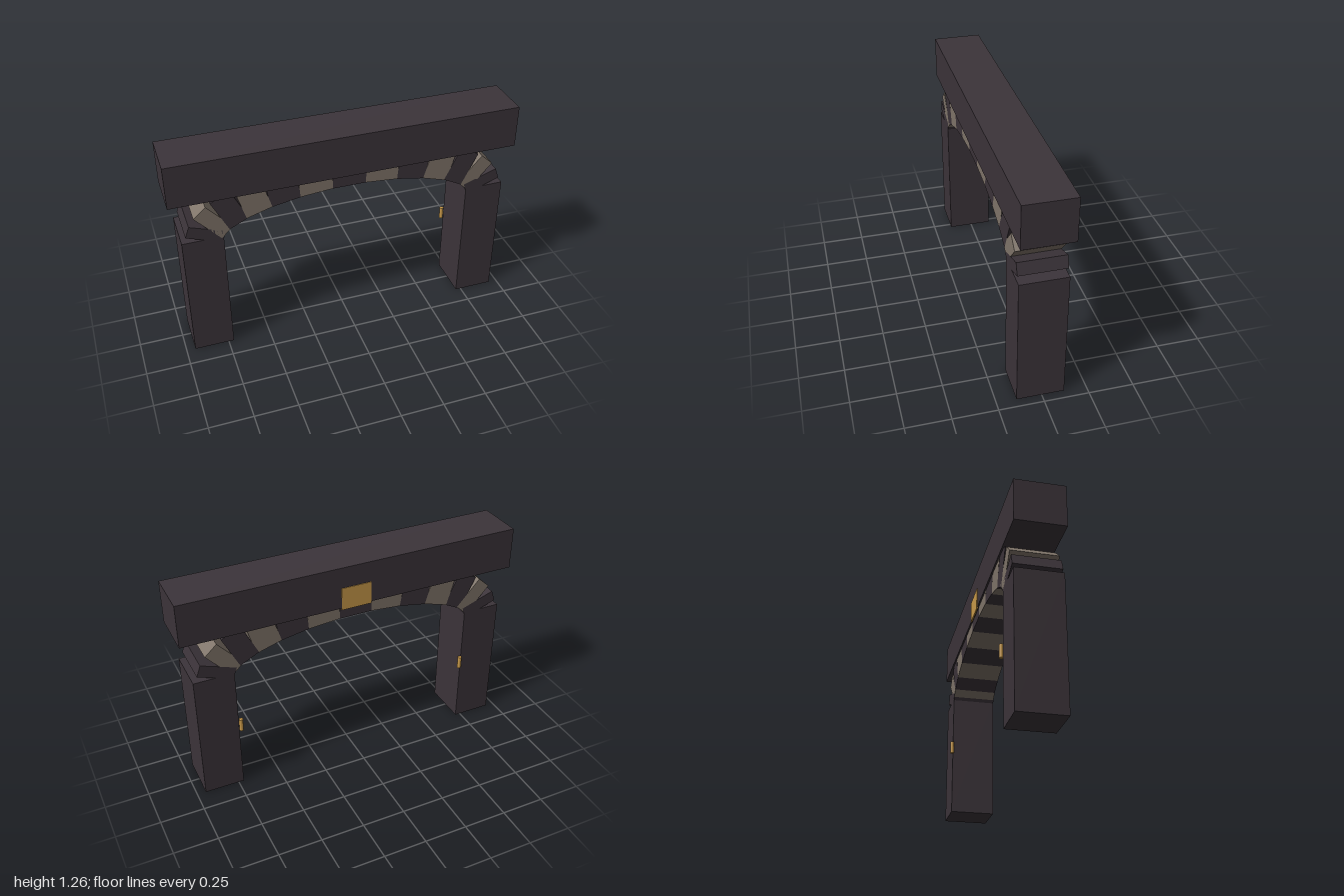
import * as THREE from 'three';

export function createModel() {
  const model = new THREE.Group();
  model.name = 'gateway';

  const material = (name, color) => {
    const m = new THREE.MeshStandardMaterial({ color });
    m.name = name;
    return m;
  };
  const dark = material('dark stone', 0x3c343a);
  const pale = material('pale stone', 0x80756a);
  const gold = material('gold', 0xcb9b4a);

  const add = (name, geometry, mat, x, y, z) => {
    const mesh = new THREE.Mesh(geometry, mat);
    mesh.name = name;
    mesh.position.set(x, y, z);
    model.add(mesh);
    return mesh;
  };

  const midZ = 0.007;
  const depth = 0.264;
  const pillarHeight = 0.767;

  // Pillars, each with a small hinge pin at its back inner corner
  const pillar = new THREE.BoxGeometry(0.23, pillarHeight, depth);
  const pin = new THREE.CylinderGeometry(0.012, 0.012, 0.075, 8);
  for (const [side, s] of [['left', 1], ['right', -1]]) {
    add(side + 'Pillar', pillar, dark, s * 0.834, pillarHeight / 2, midZ);
    add(side + 'HingePin', pin, gold, s * 0.708, 0.419, -0.132);
  }

  // Arch stones: blocks set square to an ellipse, in alternating colours
  const count = 13;
  const a = 0.82;
  const b = 0.282;
  const step = Math.PI / count;
  for (let i = 0; i < count; i++) {
    const t = (i + 0.5) * step;
    const c = Math.cos(t);
    const s = Math.sin(t);
    const width = 2 * Math.sin(step / 2) * Math.hypot(a * s, b * c) * 0.98;
    const stone = add('archStone' + (i + 1), new THREE.BoxGeometry(width, 0.21, depth),
      i % 2 ? pale : dark, a * c, pillarHeight + b * s, midZ);
    stone.rotation.z = Math.atan2(s / b, c / a) - Math.PI / 2;
  }

  // Lintel beam with a gold plate on its back
  add('lintel', new THREE.BoxGeometry(2, 0.248, 0.282), dark, 0, 1.136, midZ);
  add('backPlate', new THREE.BoxGeometry(0.178, 0.134, 0.008), gold, 0, 1.07, -0.134);

  return model;
}
